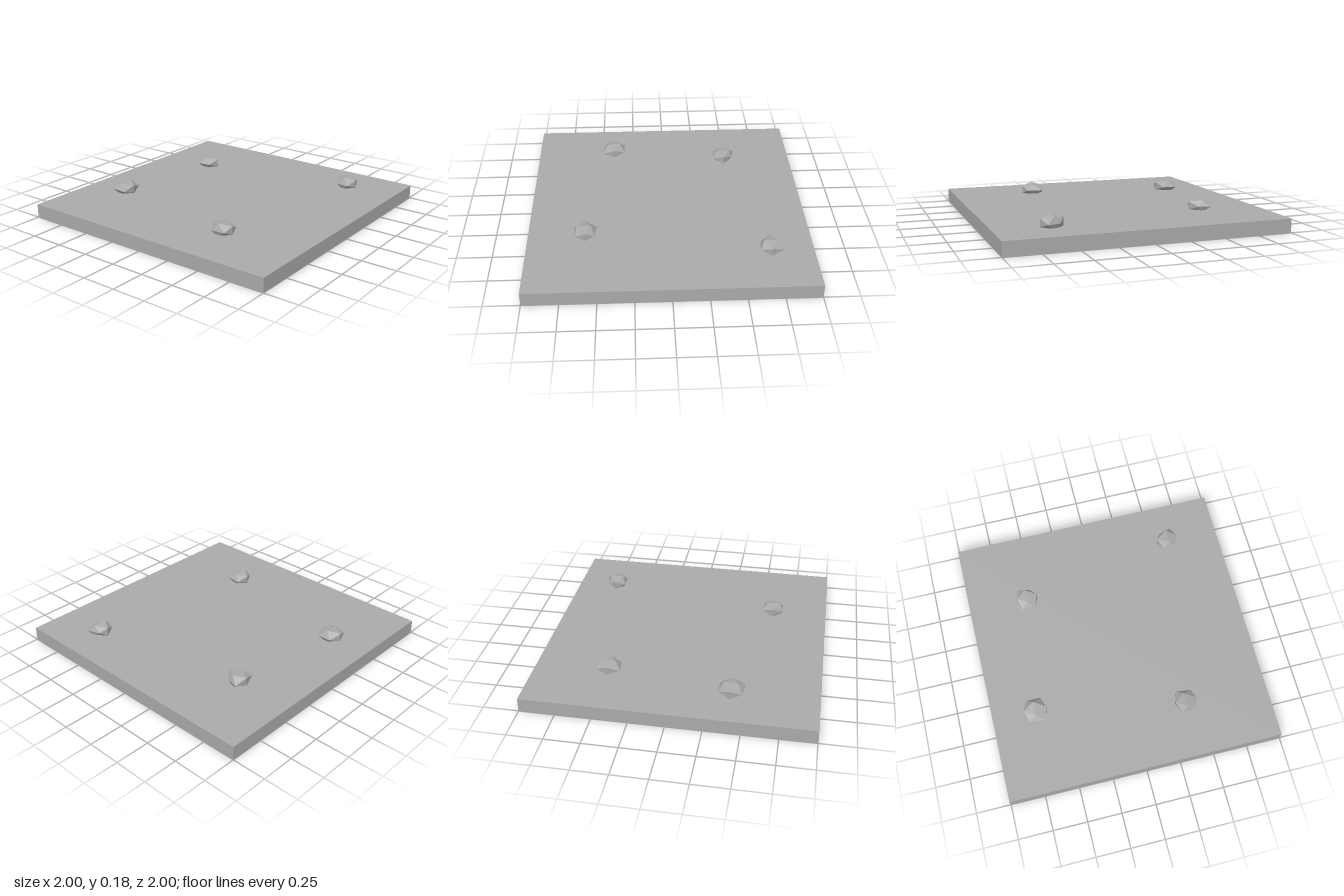
import * as THREE from 'three';

const stone = new THREE.MeshStandardMaterial({ color: 0xaaaaaa, flatShading: true });
stone.name = 'grey stone';

// Each rock: centre, outline offsets [x, z] and heights of the two ridge ends
const rocks = [
  { x: -0.4, z: -0.685, tips: [-0.083, 0.083], ridge: [0.168, 0.177],
    corners: { br: [0.083, -0.046], fr: [0.083, 0.055], fl: [-0.092, 0.065], bl: [-0.08, -0.057] } },
  { x: 0.475, z: -0.56, tips: [-0.076, 0.08], ridge: [0.167, 0.17],
    corners: { br: [0.084, -0.052], fr: [0.064, 0.03], fl: [-0.078, 0.048], bl: [-0.087, -0.052] } },
  { x: -0.6, z: 0.39, tips: [-0.077, 0.081], ridge: [0.18, 0.168],
    corners: { br: [0.088, -0.048], fr: [0.073, 0.06], fl: [-0.063, 0.06], bl: [-0.074, -0.037] } },
  { x: 0.7, z: 0.605, tips: [-0.081, 0.077], ridge: [0.18, 0.173],
    corners: { br: [0.055, -0.045], fr: [0.085, 0.046], fl: [-0.078, 0.045], bl: [-0.073, -0.045] } },
];

// Flattened, uneven icosahedron partly sunk into the slab
function makeRock({ x, z, tips, ridge, corners }) {
  const geo = new THREE.IcosahedronGeometry(0.1, 0);
  const p = geo.attributes.position;
  const mid = 0.13;
  for (let i = 0; i < p.count; i++) {
    const vx = p.getX(i), vy = p.getY(i), vz = p.getZ(i);
    if (Math.abs(vy) > 0.07) {
      // top and bottom ridges
      p.setXYZ(i, vx * 0.95, vy > 0 ? ridge[vx > 0 ? 1 : 0] : 0.08, 0);
    } else if (Math.abs(vz) > 0.07) {
      // front and back tips
      p.setXYZ(i, 0, mid + vy * 0.56, tips[vz > 0 ? 1 : 0]);
    } else {
      // side corners
      const [cx, cz] = corners[(vz > 0 ? 'f' : 'b') + (vx > 0 ? 'r' : 'l')];
      p.setXYZ(i, cx, mid - 0.002, cz);
    }
  }
  geo.computeVertexNormals();
  const mesh = new THREE.Mesh(geo, stone);
  mesh.position.set(x, 0, z);
  return mesh;
}

export function createModel() {
  const model = new THREE.Group();
  model.name = 'rockyGroundTile';

  // Flat square slab
  const slab = new THREE.Mesh(new THREE.BoxGeometry(2, 0.1, 2), stone);
  slab.name = 'groundSlab';
  slab.position.y = 0.05;
  model.add(slab);

  // Scattered rocks
  rocks.forEach((r, i) => {
    const rock = makeRock(r);
    rock.name = `rock${i + 1}`;
    model.add(rock);
  });
  return model;
}
